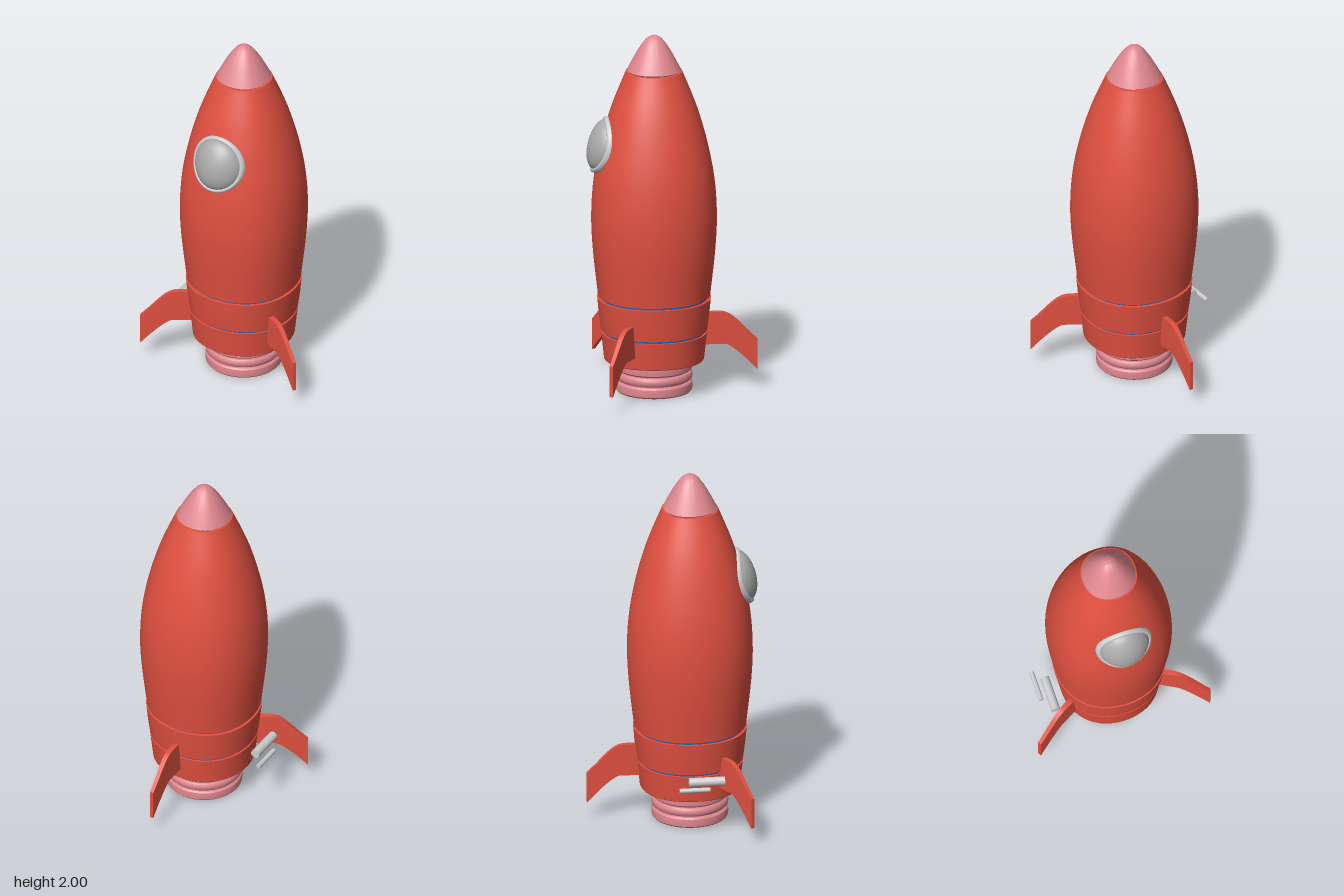
import * as THREE from 'three';
import { toCreasedNormals } from 'three/addons/utils/BufferGeometryUtils.js';

const AXIS_Z = 0.104; // hull axis; the back fin reaches further than the front
const mat = (color) => new THREE.MeshStandardMaterial({ color });
const RED = mat(0xe05040), PINK = mat(0xe08890), BLUE = mat(0x1a5fb4);
const GREY = mat(0xcccccc), GLASS = mat(0xaaaaaa);

function add(parent, name, geometry, material) {
  const mesh = new THREE.Mesh(geometry, material);
  mesh.name = name;
  parent.add(mesh);
  return mesh;
}

// Move every vertex by a rule
function warp(geometry, rule) {
  const p = geometry.attributes.position, v = new THREE.Vector3();
  for (let i = 0; i < p.count; i++) {
    rule(v.fromBufferAttribute(p, i));
    p.setXYZ(i, v.x, v.y, v.z);
  }
  geometry.computeVertexNormals();
  return geometry;
}

// Turned shape, optionally swelling a little towards the diagonals
function turned(points, swell = 0) {
  const g = new THREE.LatheGeometry(points.map(([r, y]) => new THREE.Vector2(r, y)), 64);
  warp(g, (v) => {
    const s = 1 + swell * Math.sin(2 * Math.atan2(v.x, v.z)) ** 2;
    v.x *= s;
    v.z *= s;
  });
  return toCreasedNormals(g, 0.6);
}

const smooth = (points, n) => new THREE.SplineCurve(points.map(([r, y]) => new THREE.Vector2(r, y)))
  .getPoints(n).map((p) => [Math.max(p.x, 0), p.y]);

function finGeometry() {
  const s = new THREE.Shape();
  s.moveTo(0.265, 0.25);
  s.lineTo(0.39, 0.25);
  s.quadraticCurveTo(0.44, 0.235, 0.564, 0.1);
  s.lineTo(0.564, 0.272);
  s.bezierCurveTo(0.47, 0.355, 0.43, 0.43, 0.36, 0.43);
  s.quadraticCurveTo(0.31, 0.433, 0.272, 0.425);
  s.closePath();
  const g = new THREE.ExtrudeGeometry(s, { depth: 1, bevelEnabled: false, curveSegments: 12 });
  // Thicker at the root than at the tip
  warp(g, (v) => { v.z = (v.z - 0.5) * THREE.MathUtils.mapLinear(v.x, 0.265, 0.564, 0.032, 0.021); });
  return toCreasedNormals(g, 0.5);
}

export function createModel() {
  const model = new THREE.Group();
  model.name = 'rocket';
  const rocket = new THREE.Group();
  rocket.name = 'rocketBody';
  rocket.position.z = AXIS_Z;
  model.add(rocket);
  const SWELL = 0.025;

  // Hull sections, separated by narrow grooves
  const hull = smooth([[0.305, 0.54], [0.333, 0.8], [0.341, 1.0], [0.327, 1.2],
    [0.289, 1.4], [0.231, 1.6], [0.153, 1.798]], 40);
  add(rocket, 'upperHull', turned([[0.27, 0.54], ...hull, [0, 1.8]], SWELL), RED);
  add(rocket, 'middleHull', turned([[0.26, 0.347], [0.289, 0.347], [0.301, 0.44], [0.309, 0.527], [0.27, 0.527]], SWELL), RED);
  add(rocket, 'lowerHull', turned([[0, 0.18], [0.268, 0.18], [0.272, 0.184], [0.288, 0.334], [0.26, 0.334]], SWELL), RED);

  // Blue bands inside the grooves
  for (const [name, y, r] of [['upperBand', 0.533, 0.292], ['lowerBand', 0.34, 0.276]]) {
    add(rocket, name, turned([[r, y - 0.012], [r, y + 0.012]], SWELL), BLUE);
  }

  // Nose cone
  const nose = smooth([[0.146, 1.806], [0.118, 1.862], [0.083, 1.925], [0.045, 1.977], [0.018, 1.996], [0, 2]], 24);
  add(rocket, 'noseCone', turned([[0, 1.803], [0.14, 1.8], ...nose], SWELL), PINK);

  // Ribbed nozzle, hollow from below
  const ribs = [];
  for (const [low, high] of [[0, 0.058], [0.066, 0.112], [0.12, 0.185]]) {
    ribs.push([0.185, low], [0.2, low], [0.207, low + 0.008], [0.209, (low + high) / 2],
      [0.207, high - 0.008], [0.2, high], [0.185, high]);
  }
  add(rocket, 'nozzle', turned([[0, 0.15], [0.14, 0.15], [0.162, 0.1], [0.17, 0.01], [0.177, 0], ...ribs]), PINK);

  // Three fins, one of them straight back
  const finShape = finGeometry();
  for (let i = 0; i < 3; i++) {
    add(rocket, 'fin' + (i + 1), finShape, RED).rotation.y = Math.PI / 2 + (i * Math.PI * 2) / 3;
  }

  // Domed window, bent around the hull
  const porthole = new THREE.Group();
  porthole.name = 'window';
  porthole.position.set(0, 1.392, 0.398);
  porthole.rotation.x = -0.265;
  model.add(porthole);
  const bend = (v) => { v.z -= 1.5 * v.x * v.x; };
  const rim = new THREE.TorusGeometry(0.146, 0.013, 12, 64).scale(1, 1, 1.4);
  add(porthole, 'windowRim', warp(rim, bend), GREY);
  const dome = new THREE.SphereGeometry(0.142, 48, 16, 0, Math.PI * 2, 0, Math.PI / 2)
    .rotateX(Math.PI / 2).scale(1, 1, 0.47);
  add(porthole, 'windowGlass', warp(dome, bend), GLASS);

  // Two small rods beside the hull
  for (const [name, r, length, x, y, z] of [
    ['thickRod', 0.025, 0.195, -0.35, 0.33, 0.152],
    ['thinRod', 0.013, 0.168, -0.404, 0.305, 0.079],
  ]) {
    add(model, name, new THREE.CylinderGeometry(r, r, length, 24).rotateX(Math.PI / 2), GREY).position.set(x, y, z);
  }
  return model;
}
